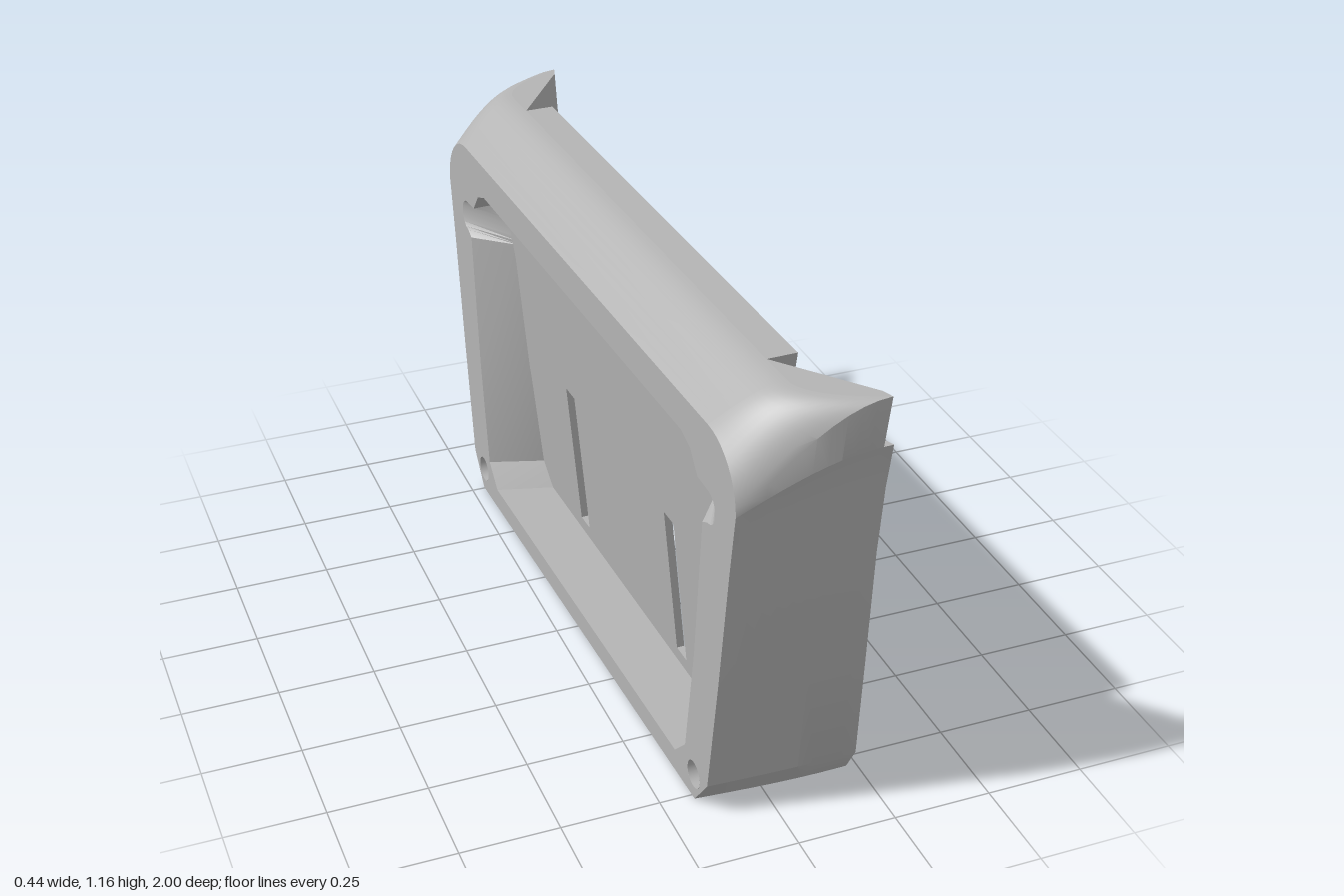
import * as THREE from 'three';
import { toCreasedNormals } from 'three/addons/utils/BufferGeometryUtils.js';

// Local frame: x = depth (outer face at -0.19), y = up, z = along the bracket.
const FACE = -0.19;
const panelDepth = (y) => -0.012 - 0.087 * (y / 0.95); // the panel leans back

const grey = new THREE.MeshStandardMaterial({ color: 0xb4b4b4, side: THREE.DoubleSide });
grey.name = 'plain grey';

const mirrorZ = (p) => [p[0], p[1], -p[2]];

// Surface through rows of [x, y, z] points
function loft(rows, crease = 0.4) {
  const n = rows[0].length, index = [];
  for (let i = 0; i < rows.length - 1; i++) {
    for (let j = 0; j < n - 1; j++) {
      const a = i * n + j, b = a + n;
      index.push(a, b, a + 1, b, b + 1, a + 1);
    }
  }
  const g = new THREE.BufferGeometry();
  g.setAttribute('position', new THREE.Float32BufferAttribute(rows.flat(2), 3));
  g.setIndex(index);
  return toCreasedNormals(g, crease);
}

// Move every vertex by a rule, then refresh the normals
function reshape(g, rule) {
  const p = g.attributes.position;
  for (let i = 0; i < p.count; i++) p.setXYZ(i, ...rule(p.getX(i), p.getY(i), p.getZ(i)));
  g.computeVertexNormals();
  return g;
}

const shapeOf = (pts) => new THREE.Shape(pts.map(([a, b]) => new THREE.Vector2(a, b)));
const pathOf = (pts) => new THREE.Path(pts.map(([a, b]) => new THREE.Vector2(a, b)));

// Flat horizontal plate from [z, x] points
const flatAt = (pts, y) => reshape(new THREE.ShapeGeometry(shapeOf(pts)), (z, x) => [x, y, z]);

export function createModel() {
  const group = new THREE.Group();
  const body = new THREE.Group();
  body.name = 'bracket';
  body.rotation.y = 0.031;
  group.add(body);
  const add = (name, geometry) => {
    const m = new THREE.Mesh(geometry, grey);
    m.name = name;
    body.add(m);
    return m;
  };

  // Outer shell stations: rim point on the face, then free edge point
  const stations = [
    [[FACE, 0, 0.76], [0.2, 0, 0.79]],
    [[FACE, 0.09, 0.83], [0.19, 0.09, 0.85]],
    [[FACE, 0.42, 0.88], [0.162, 0.42, 0.92]],
    [[FACE, 0.75, 0.925], [0.145, 0.75, 0.97]],
    [[FACE, 0.88, 0.945], [0.146, 0.93, 0.99]],
    [[FACE, 0.91, 0.95], [0.154, 1.04, 1.0]],
    [[FACE, 0.91, 0.95], [0.13, 1.04, 1.0]],
  ];
  const topCurve = new THREE.QuadraticBezierCurve(
    new THREE.Vector2(1.0, 0.145), new THREE.Vector2(0.93, -0.03), new THREE.Vector2(0.85, -0.03));
  const topEdge = topCurve.getPoints(10).map((p) => [p.x, p.y]);
  topEdge.forEach(([z, x], i) => {
    const a = (i / 10) * Math.PI / 2;
    stations.push([[FACE, 0.91 + 0.15 * Math.sin(a), 0.8 + 0.15 * Math.cos(a)], [x, 1.16, z]]);
  });
  const allStations = [...stations, ...stations.map((s) => s.map(mirrorZ)).reverse()];
  const STEPS = 10;
  add('outerShell', loft(allStations.map(([p, q]) => {
    const row = [];
    for (let k = 0; k <= STEPS; k++) {
      const t = k / STEPS, s = Math.sin(t * Math.PI / 2);
      row.push([p[0] + (q[0] - p[0]) * t, p[1] + (q[1] - p[1]) * s, p[2] + (q[2] - p[2]) * s]);
    }
    return row;
  })));

  // Pocket outline [z, y] with round bites in its upper corners
  const half = [[0.64, 0.06], [0.7, 0.12], [0.745, 0.42], [0.78, 0.8]];
  for (let i = 0; i <= 8; i++) {
    const a = -Math.PI / 2 + (i / 8) * Math.PI;
    half.push([0.805 + 0.042 * Math.cos(a), 0.855 + 0.042 * Math.sin(a)]);
  }
  half.push([0.75, 0.9], [0.71, 0.95], [0.66, 0.97]);
  const pocket = [...half, ...half.map(([z, y]) => [-z, y]).reverse()];

  // Outer face with the pocket and two screw holes cut out
  const HOLE = [0.752, 0.068], R = 0.036;
  const rim = shapeOf(allStations.map(([p]) => [p[2], p[1]]));
  rim.holes.push(pathOf(pocket));
  for (const s of [1, -1]) {
    rim.holes.push(new THREE.Path().absarc(s * HOLE[0], HOLE[1], R, 0, Math.PI * 2, true));
  }
  const face = new THREE.ShapeGeometry(rim, 24);
  face.rotateY(-Math.PI / 2);
  face.translate(FACE, 0, 0);
  add('rearRim', face);

  // Tapered pocket walls reaching the panel
  const ring = [...pocket, pocket[0]];
  add('pocketWalls', loft([
    ring.map(([z, y]) => [FACE, y, z]),
    ring.map(([z, y]) => {
      const fy = Math.min(y, 0.955);
      return [panelDepth(fy) - 0.01, fy, Math.sign(z) * Math.min(Math.abs(z) * 0.92, 0.66)];
    }),
  ]));

  // Leaning panel with two slots
  const panel = shapeOf([[-0.7, 0], [0.7, 0], [0.7, 0.97], [-0.7, 0.97]]);
  for (const c of [0.34, -0.325]) {
    panel.holes.push(pathOf([[c - 0.03, 0.1], [c - 0.03, 0.52], [c + 0.03, 0.52], [c + 0.03, 0.1]]));
  }
  const panelGeo = new THREE.ExtrudeGeometry(panel, { depth: 0.02, bevelEnabled: false });
  panelGeo.rotateY(-Math.PI / 2);
  add('slottedPanel', reshape(panelGeo, (x, y, z) => [x + panelDepth(y), y, z]));

  // Top lip with undercut and small ledge; its ends narrow downwards
  const lip = shapeOf([[-0.03, 1.16], [0.045, 1.16], [0.045, 1.0], [-0.05, 0.988], [-0.078, 0.975],
    [-0.078, 0.95], [-0.105, 0.95], [-0.105, 1.1]]);
  const lipGeo = new THREE.ExtrudeGeometry(lip, { depth: 2, bevelEnabled: false });
  add('topLip', reshape(lipGeo, (x, y, z) => [x, y, (z - 1) * (0.71 + 0.04 * (y - 0.97) / 0.19)]));

  // Underside
  add('underside', flatAt([[-0.76, FACE], [0.76, FACE], [0.79, 0.2], [0.7, -0.012],
    [-0.7, -0.012], [-0.79, 0.2]], 0));

  // Side wings: inner face, edge band, flat top and screw hole on each side
  const ridge = (y) => {
    const t = y / 1.16;
    return [0.195 - 0.06 * t - 0.06 * t * (1 - t), y, 0.785 + 0.185 * t];
  };
  for (const s of [1, -1]) {
    const side = s > 0 ? 'left' : 'right';
    const put = (p) => (s > 0 ? p : mirrorZ(p));
    const inner = [0, 0.24, 0.48, 0.72, 0.95, 1.16].map((y) => [
      y > 1 ? [-0.03, y, 0.75] : [panelDepth(y), y, 0.7], ridge(y)].map(put));
    add(side + 'WingInnerFace', loft(inner));
    const edge = stations.slice(0, 6).map(([, q]) => [ridge(q[1]), q].map(put));
    add(side + 'WingEdgeBand', loft(edge));
    const tip = [[0.13, 1.04, 1.0], [0.145, 1.16, 1.0]].map((q) => [ridge(q[1]), q].map(put));
    add(side + 'WingTip', loft(tip));
    const notch = [[ridge(1.04), ridge(1.04)], [[0.13, 1.04, 1.0], [0.154, 1.04, 1.0]]];
    add(side + 'WingNotch', loft(notch.map((r) => r.map(put))));
    add(side + 'WingTop', flatAt([[0.75, -0.03], [0.97, 0.135], ...topEdge]
      .map(([z, x]) => [s * z, x]), 1.16));

    const bore = new THREE.CylinderGeometry(R, R, 0.12, 24, 1, true);
    bore.rotateZ(Math.PI / 2);
    add(side + 'ScrewHole', bore).position.set(FACE + 0.06, HOLE[1], s * HOLE[0]);
    const end = new THREE.CircleGeometry(R, 24);
    end.rotateY(-Math.PI / 2);
    add(side + 'ScrewHoleEnd', end).position.set(FACE + 0.12, HOLE[1], s * HOLE[0]);
  }
  return group;
}
